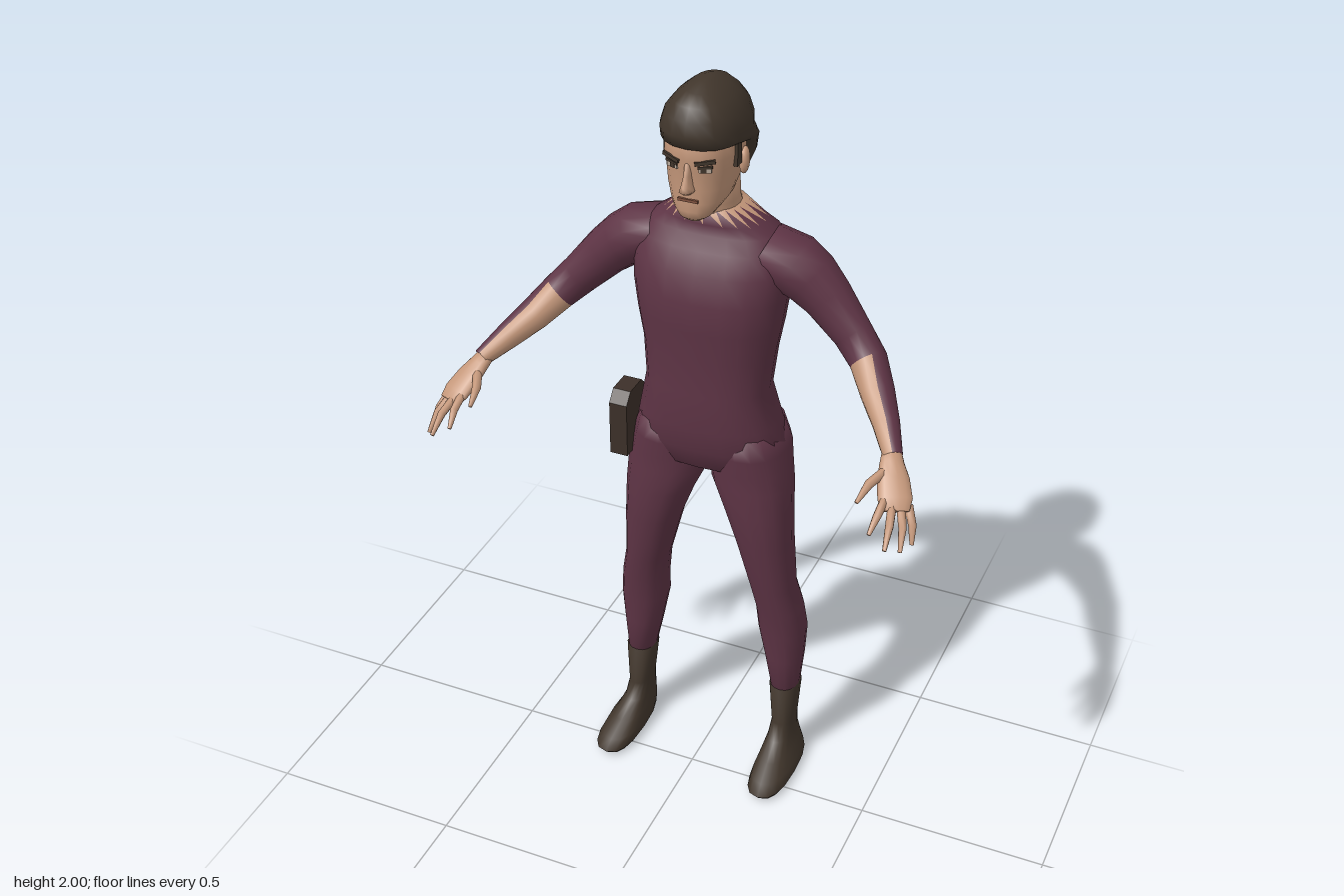
import * as THREE from 'three';

const mat = (name, color) => {
  const m = new THREE.MeshStandardMaterial({ color });
  m.name = name;
  return m;
};
const suit = mat('plum suit', 0x5e3445);
const skin = mat('skin', 0xc4977a);
const dark = mat('dark brown hair and boots', 0x41362c);
const holsterMat = mat('holster brown', 0x3c3029);
const eyeWhite = mat('eye white', 0xb9aa9c);
const lip = mat('lip', 0x80523f);

// Superellipse ring lying flat at height y
function flatRing(y, x0, x1, zf, zb, n, e) {
  const pow = (v) => Math.sign(v) * Math.pow(Math.abs(v), 2 / e);
  return Array.from({ length: n }, (_, j) => {
    const a = (j / n) * Math.PI * 2;
    return new THREE.Vector3(
      (x0 + x1) / 2 + ((x1 - x0) / 2) * pow(Math.cos(a)), y,
      (zf + zb) / 2 - ((zf - zb) / 2) * pow(Math.sin(a)));
  });
}

// Skin a list of rings, capped at both ends; pick(ring, column, half) chooses the material
function loft(name, rings, mats, pick = () => 0) {
  const n = rings[0].length, pos = [], faces = mats.map(() => []);
  rings.forEach((r) => r.forEach((p) => pos.push(p.x, p.y, p.z)));
  for (let i = 0; i < rings.length - 1; i++) {
    for (let j = 0; j < n; j++) {
      const k = (j + 1) % n, a = i * n + j, b = i * n + k;
      faces[pick(i, j, 0)].push(a, b, a + n);
      faces[pick(i, j, 1)].push(b, b + n, a + n);
    }
  }
  [0, rings.length - 1].forEach((i) => {
    const c = rings[i].reduce((s, p) => s.add(p), new THREE.Vector3()).divideScalar(n);
    const ci = pos.length / 3;
    pos.push(c.x, c.y, c.z);
    for (let j = 0; j < n; j++) {
      const a = i * n + j, b = i * n + ((j + 1) % n);
      faces[pick(Math.max(0, i - 1), j, 1)].push(ci, ...(i ? [a, b] : [b, a]));
    }
  });
  const g = new THREE.BufferGeometry();
  g.setAttribute('position', new THREE.Float32BufferAttribute(pos, 3));
  g.setIndex(faces.flat());
  let start = 0;
  faces.forEach((f, m) => { g.addGroup(start, f.length, m); start += f.length; });
  g.computeVertexNormals();
  const mesh = new THREE.Mesh(g, mats.length > 1 ? mats : mats[0]);
  mesh.name = name;
  return mesh;
}

// Upright body part from rows [y, halfWidth, zFront, zBack]
const column = (name, rows, mats, pick, n = 20, e = 2.3) =>
  loft(name, rows.map(([y, w, f, b]) => flatRing(y, -w, w, f, b, n, e)), mats, pick);
// Off-centre part from rows [y, xInner, xOuter, zFront, zBack]
const limb = (name, rows, m, e = 2.2) =>
  loft(name, rows.map((r) => flatRing(...r, 16, e)), [m]);

// Tube through rows [x, y, z, radiusInward, radiusUp]
function tube(name, rows, mats, pick, n = 14) {
  const pts = rows.map((r) => new THREE.Vector3(r[0], r[1], r[2]));
  const rings = rows.map((r, i) => {
    const d = pts[Math.min(i + 1, pts.length - 1)].clone().sub(pts[Math.max(i - 1, 0)]).normalize();
    const u = new THREE.Vector3(-d.z, 0, d.x).normalize();
    const v = u.clone().cross(d);
    return Array.from({ length: n }, (_, j) => {
      const a = (j / n) * Math.PI * 2;
      return pts[i].clone().addScaledVector(u, Math.cos(a) * r[3]).addScaledVector(v, -Math.sin(a) * r[4]);
    });
  });
  return loft(name, rings, mats, pick);
}

function buildHead() {
  const head = new THREE.Group();
  head.name = 'head';
  head.add(column('neck', [
    [1.6, 0.085, -0.08, -0.195], [1.66, 0.075, -0.065, -0.188],
    [1.7, 0.066, -0.05, -0.18], [1.78, 0.066, -0.04, -0.178]], [skin]));
  head.add(column('face', [
    [1.683, 0.022, 0.005, -0.05], [1.695, 0.04, 0.02, -0.08], [1.715, 0.055, 0.027, -0.11],
    [1.735, 0.068, 0.024, -0.14], [1.77, 0.078, 0.027, -0.17], [1.815, 0.085, 0.026, -0.185],
    [1.845, 0.088, 0.034, -0.19], [1.88, 0.088, 0.03, -0.19], [1.93, 0.08, 0.01, -0.18]], [skin]));
  head.add(column('nose', [
    [1.764, 0.012, 0.042, 0], [1.773, 0.018, 0.057, 0], [1.786, 0.013, 0.054, 0],
    [1.81, 0.009, 0.043, 0], [1.84, 0.009, 0.034, 0]], [skin], undefined, 8, 2));
  // Hair hugs the nape, then widens forward into a cap
  head.add(column('hair', [
    [1.752, 0.055, -0.13, -0.18], [1.77, 0.075, -0.115, -0.192], [1.81, 0.092, -0.105, -0.205],
    [1.85, 0.098, -0.085, -0.212], [1.866, 0.1, -0.01, -0.213], [1.876, 0.1, 0.036, -0.213],
    [1.905, 0.1, 0.043, -0.212], [1.94, 0.089, 0.036, -0.202], [1.968, 0.067, 0.018, -0.183],
    [1.988, 0.042, -0.015, -0.16], [2, 0.015, -0.06, -0.12]], [dark]));

  // Thin plates laid on the curved face
  const plate = (name, x, y, w, h, m, roll = 0, lift = 0) => {
    const p = new THREE.Mesh(new THREE.BoxGeometry(w, h, 0.006), m);
    const t = Math.abs(x) / 0.086;
    p.position.set(x, y, -0.08 + 0.108 * Math.pow(1 - Math.pow(t, 2.3), 1 / 2.3) + lift);
    p.rotation.set(0, Math.sign(x) * Math.pow(t, 1.3) * 0.9, roll);
    p.name = name;
    head.add(p);
  };
  for (const s of [-1, 1]) {
    plate('eyebrow', s * 0.042, 1.846, 0.048, 0.009, dark, s * 0.16, 0.007);
    plate('eye', s * 0.04, 1.825, 0.03, 0.011, eyeWhite, 0, 0.001);
    plate('iris', s * 0.038, 1.826, 0.013, 0.011, dark, 0, 0.003);
    plate('upperLid', s * 0.041, 1.833, 0.034, 0.006, dark, s * 0.1, 0.003);
    const ear = new THREE.Mesh(new THREE.SphereGeometry(1, 10, 8), skin);
    ear.name = 'ear';
    ear.scale.set(0.013, 0.033, 0.02);
    ear.position.set(s * 0.09, 1.812, -0.092);
    ear.rotation.set(-0.15, s * 0.25, 0);
    const burn = new THREE.Mesh(new THREE.BoxGeometry(0.012, 0.055, 0.025), dark);
    burn.name = 'sideburn';
    burn.position.set(s * 0.086, 1.842, -0.058);
    head.add(ear, burn);
  }
  plate('mouth', 0, 1.745, 0.05, 0.007, lip, 0, -0.002);
  return head;
}

// Arm, hand, leg and boot for the +x side
function buildSide() {
  const side = new THREE.Group();
  // Sleeve covers the outer forearm; the inner half is bare
  side.add(tube('arm', [
    [0.13, 1.575, -0.14, 0.08, 0.055], [0.2, 1.54, -0.145, 0.083, 0.073], [0.245, 1.51, -0.145, 0.072, 0.069],
    [0.29, 1.47, -0.14, 0.058, 0.062], [0.36, 1.395, -0.128, 0.045, 0.052], [0.41, 1.345, -0.105, 0.046, 0.048],
    [0.455, 1.297, -0.05, 0.042, 0.041], [0.5, 1.256, 0.01, 0.033, 0.033], [0.54, 1.22, 0.075, 0.024, 0.022]],
    [suit, skin], (i, j) => (i >= 5 && Math.cos(((j + 0.5) / 14) * Math.PI * 2) > 0 ? 1 : 0)));

  const hand = new THREE.Group();
  hand.name = 'hand';
  hand.add(tube('palm', [
    [0.532, 1.226, 0.06, 0.022, 0.019], [0.543, 1.207, 0.088, 0.029, 0.019], [0.557, 1.185, 0.115, 0.038, 0.018],
    [0.575, 1.155, 0.15, 0.041, 0.016], [0.584, 1.138, 0.172, 0.033, 0.01]], [skin]));
  const fingers = {
    thumb: [[0.54, 1.2, 0.1], [0.512, 1.185, 0.16], [0.502, 1.165, 0.212]],
    indexFinger: [[0.554, 1.156, 0.16], [0.552, 1.138, 0.207], [0.546, 1.108, 0.245]],
    middleFinger: [[0.573, 1.148, 0.16], [0.585, 1.122, 0.213], [0.59, 1.084, 0.258]],
    ringFinger: [[0.59, 1.142, 0.15], [0.61, 1.108, 0.19], [0.618, 1.066, 0.226]],
    littleFinger: [[0.604, 1.138, 0.137], [0.624, 1.1, 0.16], [0.632, 1.062, 0.182]],
  };
  for (const [name, [a, b, c]] of Object.entries(fingers)) {
    const k = name === 'thumb' ? 1.15 : 1;
    hand.add(tube(name, [[...a, 0.011 * k, 0.011 * k], [...b, 0.01 * k, 0.01 * k], [...c, 0.005, 0.005]], [skin], undefined, 7));
  }
  side.add(hand);

  side.add(limb('leg', [
    [0.24, 0.177, 0.25, -0.1, -0.194], [0.35, 0.155, 0.26, -0.09, -0.209], [0.44, 0.137, 0.265, -0.08, -0.215],
    [0.52, 0.132, 0.256, -0.07, -0.203], [0.6, 0.12, 0.238, -0.053, -0.19], [0.75, 0.08, 0.23, -0.032, -0.193],
    [0.85, 0.043, 0.226, -0.025, -0.203], [0.92, 0.011, 0.222, -0.026, -0.216], [0.97, 0.004, 0.214, -0.025, -0.228],
    [1.02, 0.004, 0.204, -0.02, -0.25], [1.08, 0.02, 0.185, -0.02, -0.235]], suit));
  side.add(limb('boot', [
    [0, 0.18, 0.276, 0.068, -0.193], [0.015, 0.172, 0.283, 0.082, -0.2], [0.035, 0.174, 0.275, 0.05, -0.203],
    [0.06, 0.179, 0.26, -0.005, -0.202], [0.09, 0.184, 0.248, -0.062, -0.198], [0.13, 0.186, 0.245, -0.093, -0.195],
    [0.25, 0.173, 0.254, -0.097, -0.197]], dark, 2.5));
  return side;
}

export function createModel() {
  const model = new THREE.Group();
  model.name = 'standing figure';

  // Torso ends in a jagged neckline of alternating triangles
  const rows = [
    [0.945, 0.06, -0.07, -0.17], [0.97, 0.17, -0.03, -0.222], [1.03, 0.2, -0.01, -0.255],
    [1.1, 0.182, 0.005, -0.243], [1.2, 0.16, 0.002, -0.217], [1.3, 0.169, 0.0, -0.233],
    [1.38, 0.183, 0.008, -0.245], [1.46, 0.194, 0.01, -0.252], [1.53, 0.2, -0.01, -0.253],
    [1.58, 0.192, -0.035, -0.243], [1.615, 0.165, -0.055, -0.228], [1.64, 0.13, -0.062, -0.212],
    [1.685, 0.08, -0.06, -0.19]];
  model.add(column('torso', rows, [suit, skin],
    (i, j, half) => (i === rows.length - 2 && half ? 1 : 0), 20, 2.4));
  model.add(buildHead());

  const left = buildSide(), right = buildSide();
  left.name = 'leftLimbs';
  right.name = 'rightLimbs';
  right.scale.x = -1;
  model.add(left, right);

  // Holster: slab with clipped corners on the right hip
  const outline = new THREE.Shape([
    [-0.03, 0.95], [-0.03, 1.1], [-0.055, 1.13], [-0.12, 1.13], [-0.15, 1.1], [-0.15, 0.985], [-0.12, 0.95],
  ].map(([z, y]) => new THREE.Vector2(-z, y)));
  const holster = new THREE.Mesh(new THREE.ExtrudeGeometry(outline, { depth: 0.048, bevelEnabled: false }), holsterMat);
  holster.name = 'holster';
  holster.rotation.y = Math.PI / 2;
  holster.position.x = -0.242;
  model.add(holster);
  return model;
}
